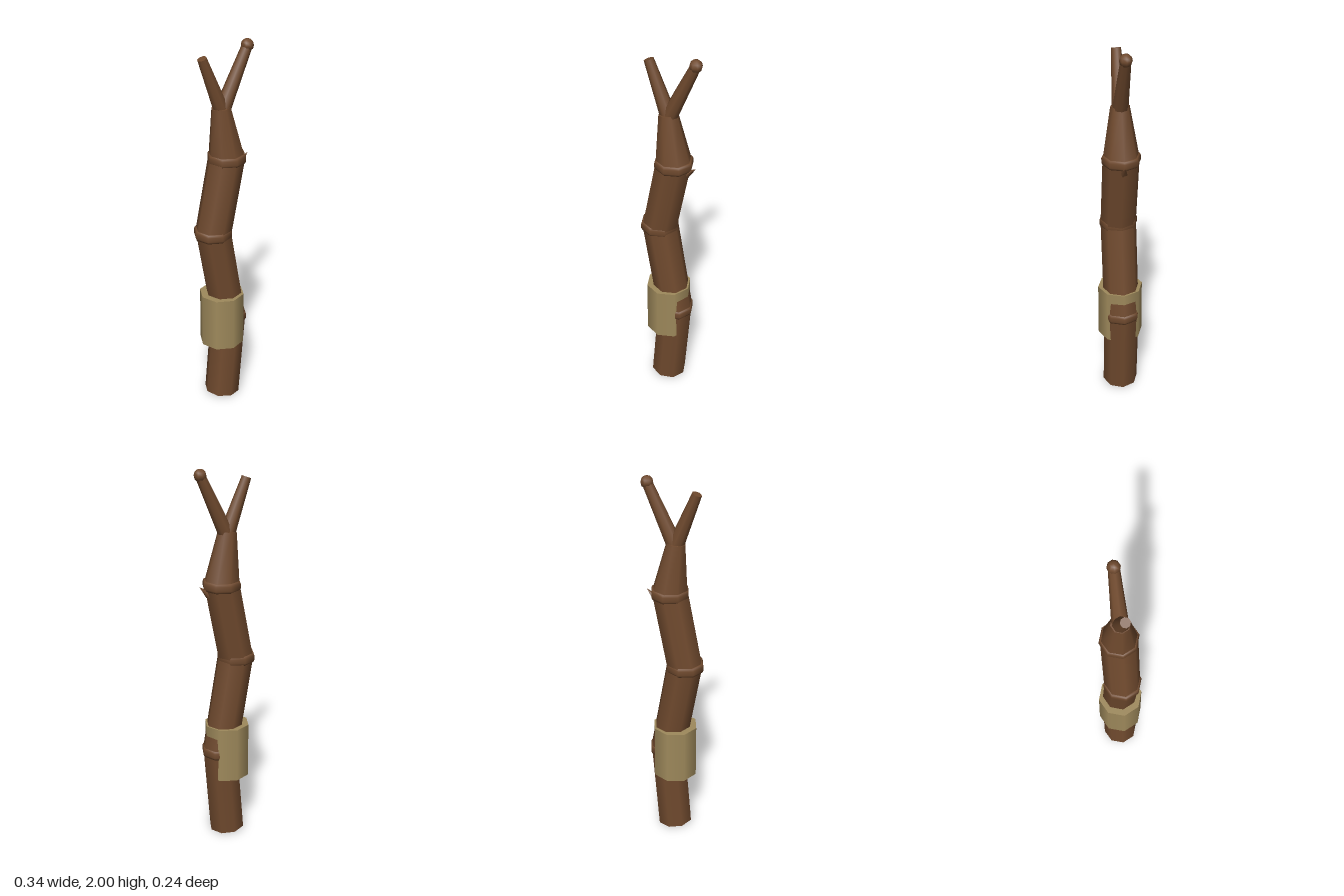
import * as THREE from 'three';

export function createModel() {
  const model = new THREE.Group();
  const bark = new THREE.MeshStandardMaterial({ color: 0x704a2e });
  bark.name = 'brown bark';
  const cloth = new THREE.MeshStandardMaterial({ color: 0x9f8a5c });
  cloth.name = 'tan cloth';
  const UP = new THREE.Vector3(0, 1, 0);

  function add(name, geometry, material, x = 0, y = 0) {
    const mesh = new THREE.Mesh(geometry, material);
    mesh.name = name;
    mesh.position.set(x, y, 0);
    model.add(mesh);
    return mesh;
  }

  // Tapered round length between two points in the x-y plane
  function limb(name, [x0, y0], [x1, y1], r0, r1, sides = 8) {
    const dir = new THREE.Vector3(x1 - x0, y1 - y0, 0);
    const geometry = new THREE.CylinderGeometry(r1, r0, dir.length(), sides);
    const mesh = add(name, geometry, bark, (x0 + x1) / 2, (y0 + y1) / 2);
    mesh.quaternion.setFromUnitVectors(UP, dir.normalize());
    return mesh;
  }

  // Crooked staff
  const joints = [[-0.015, 0.008], [0.025, 0.48], [-0.066, 1.0], [0.014, 1.4], [-0.018, 1.675]];
  const names = ['lowerStaff', 'middleStaff', 'upperStaff', 'taperedNeck'];
  names.forEach((name, i) => limb(name, joints[i], joints[i + 1], 0.095, i === 3 ? 0.049 : 0.095));

  // Raised rings covering the joints
  const ringProfile = [[0.085, -0.025], [0.096, -0.024], [0.101, -0.012], [0.101, 0.012], [0.096, 0.024], [0.085, 0.025]]
    .map(([r, y]) => new THREE.Vector2(r, y));
  const ringGeometry = new THREE.LatheGeometry(ringProfile, 8);
  [[0.024, 0.48], [-0.069, 1.0], [0.015, 1.402]].forEach(([x, y], i) =>
    add('jointRing' + (i + 1), ringGeometry, bark, x, y));

  // Forked tip with a knob on the longer branch
  limb('shortBranch', [-0.018, 1.665], [-0.125, 1.938], 0.041, 0.025);
  limb('longBranch', [-0.006, 1.67], [0.133, 1.966], 0.041, 0.027);
  add('branchKnob', new THREE.SphereGeometry(0.033, 8, 6), bark, 0.133, 1.967);

  // Small thorn under the top ring
  limb('thorn', [0.085, 1.355], [0.142, 1.405], 0.022, 0, 5);

  // Cloth grip wrapped round the staff
  add('gripWrap', new THREE.CylinderGeometry(0.12, 0.12, 0.295, 8), cloth, -0.015, 0.4825);

  return model;
}
